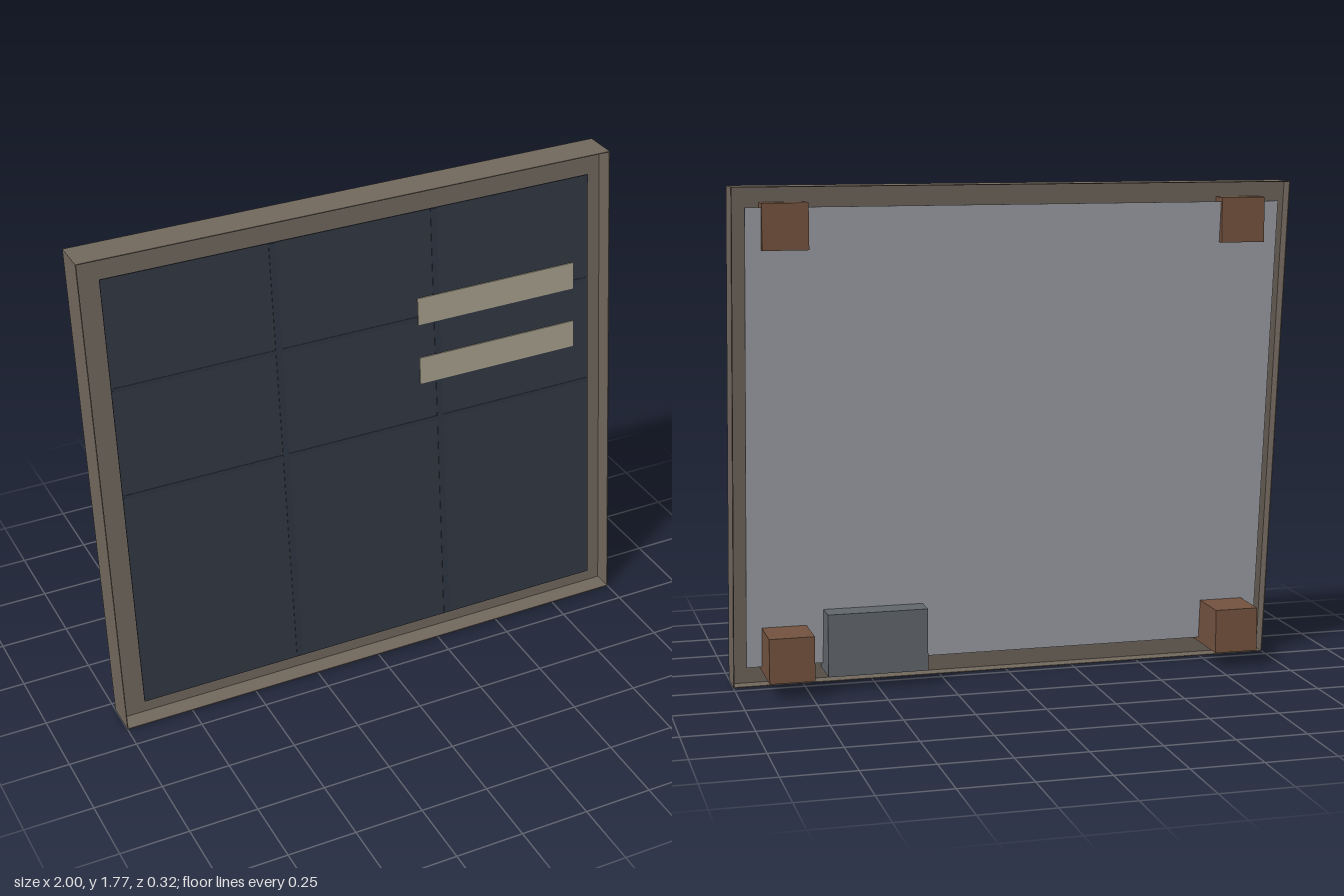
import * as THREE from 'three';

const W = 2, H = 1.775, LEAN = -0.1065;

export function createModel() {
  const model = new THREE.Group();
  model.name = 'leaningPanel';

  const material = (name, color) => {
    const m = new THREE.MeshStandardMaterial({ color });
    m.name = name;
    return m;
  };
  const frameMat = material('taupe frame', 0x73695e);
  const panelMat = material('navy panel', 0x323945);
  const seamMat = material('dark navy seam', 0x303743);
  const labelMat = material('cream label', 0xa9a28f);
  const backMat = material('grey backing', 0xa2a5ac);
  const boxMat = material('slate box', 0x62676d);
  const footMat = material('brown block', 0x74533f);

  // Shear that leans the upright parts backwards
  const lean = new THREE.Matrix4().set(
    1, 0, 0, 0,
    0, 1, 0, 0,
    0, LEAN, 1, 0,
    0, 0, 0, 1
  );

  const add = (name, geometry, mat, leaning) => {
    if (leaning) geometry.applyMatrix4(lean);
    const mesh = new THREE.Mesh(geometry, mat);
    mesh.name = name;
    model.add(mesh);
  };

  // Box given by its extents
  const box = (name, mat, [x0, x1], [y0, y1], [z0, z1], leaning = false) => {
    const g = new THREE.BoxGeometry(x1 - x0, y1 - y0, z1 - z0);
    g.translate((x0 + x1) / 2, (y0 + y1) / 2, (z0 + z1) / 2);
    add(name, g, mat, leaning);
  };

  const rectangle = (Type, inset) => new Type([
    new THREE.Vector2(-W / 2 + inset, inset),
    new THREE.Vector2(W / 2 - inset, inset),
    new THREE.Vector2(W / 2 - inset, H - inset),
    new THREE.Vector2(-W / 2 + inset, H - inset),
  ]);

  // Rectangular ring between two insets from the outline
  const ring = (name, outer, inner, z0, z1) => {
    const shape = rectangle(THREE.Shape, outer);
    shape.holes.push(rectangle(THREE.Path, inner));
    const g = new THREE.ExtrudeGeometry(shape, { depth: z1 - z0, bevelEnabled: false });
    g.translate(0, 0, z0);
    add(name, g, frameMat, true);
  };

  // Thin outer rim with a recessed border inside it
  ring('frameRim', 0, 0.003, 0.038, 0.162);
  ring('recessedBorder', 0.003, 0.13, 0.088, 0.095);

  // Thin front sheet standing clear of the border, and the backing sheet
  box('frontPanel', panelMat, [-0.92, 0.92], [0.08, 1.697], [0.14, 0.144], true);
  box('backing', backMat, [-0.955, 0.955], [0.075, 1.705], [0.032, 0.04], true);

  // Seams on the panel
  for (const y of [0.9, 1.3]) {
    box('horizontalSeam', seamMat, [-0.915, 0.915], [y - 0.008, y + 0.008], [0.142, 0.1455], true);
  }
  for (const x of [-0.31, 0.3]) {
    box('verticalSeam', seamMat, [x - 0.012, x + 0.012], [0.082, 1.695], [0.142, 0.146], true);
  }

  // Label strips
  for (const y of [1.05, 1.277]) {
    box('label', labelMat, [0.225, 0.855], [y, y + 0.1], [0.143, 0.148], true);
  }

  // Corner blocks passing through the backing
  for (const side of [-1, 1]) {
    const x = side * 0.82;
    box('lowerBlock', footMat, [x - 0.08, x + 0.08], [0.06, 0.22], [-0.16, 0.094]);
    box('upperBlock', footMat, [x - 0.08, x + 0.08], [1.56, 1.72], [-0.16, -0.09]);
  }

  // Equipment box on the back
  box('rearBox', boxMat, [0.32, 0.68], [0.05, 0.275], [-0.085, 0.065]);

  return model;
}
